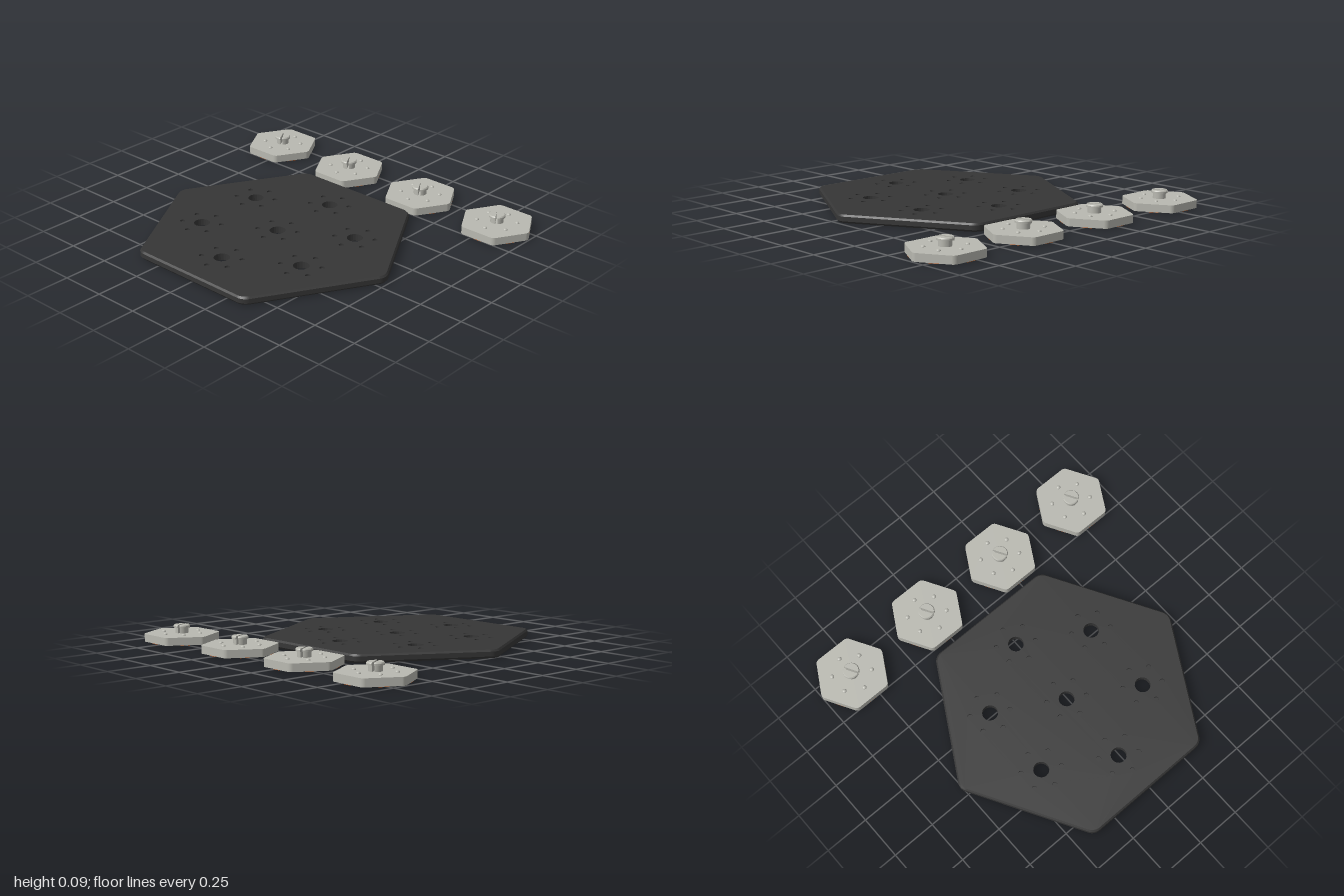
import * as THREE from 'three';

const mat = (name, color) => {
  const m = new THREE.MeshStandardMaterial({ color });
  m.name = name;
  return m;
};
const CORNER = Math.PI / 3;

// Pointed-top hexagon with rounded corners, in plan (shape y = -z)
function hexShape(halfWidth, r) {
  const s = new THREE.Shape();
  const d = (halfWidth - r) / Math.cos(Math.PI / 6);
  for (let i = 0; i < 6; i++) {
    const a = Math.PI / 6 + i * CORNER;
    s.absarc(d * Math.cos(a), d * Math.sin(a), r, a - Math.PI / 6, a + Math.PI / 6, false);
  }
  s.closePath();
  return s;
}

function circleHole(x, y, r) {
  return new THREE.Path().absarc(x, y, r, 0, Math.PI * 2, true);
}

// Horizontal slab from y0 to y1
function slab(shape, y0, y1, segments = 10) {
  const g = new THREE.ExtrudeGeometry(shape, { depth: y1 - y0, bevelEnabled: false, curveSegments: segments });
  return g.rotateX(-Math.PI / 2).translate(0, y0, 0);
}

// Pull the outer rim inward at one height to form a chamfer
function chamfer(g, y, minRadius, scale) {
  const p = g.attributes.position;
  for (let i = 0; i < p.count; i++) {
    if (Math.abs(p.getY(i) - y) < 1e-4 && Math.hypot(p.getX(i), p.getZ(i)) > minRadius) {
      p.setX(i, p.getX(i) * scale);
      p.setZ(i, p.getZ(i) * scale);
    }
  }
  g.computeVertexNormals();
  return g;
}

export function createModel() {
  const root = new THREE.Group();
  const charcoal = mat('charcoal', 0x363636);
  const paleGrey = mat('pale grey', 0xb9b9b1);
  const orange = mat('burnt orange', 0xc05a20);

  const add = (parent, name, geometry, material) => {
    const m = new THREE.Mesh(geometry, material);
    m.name = name;
    parent.add(m);
    return m;
  };

  // Board: three layers, so the peg sockets and counterbores are blind
  const board = new THREE.Group();
  board.name = 'board';
  board.position.set(-0.2, 0, -0.0135);
  root.add(board);

  const sites = [[0, 0]];
  for (let i = 0; i < 6; i++) sites.push([0.42 * Math.cos(i * CORNER), 0.42 * Math.sin(i * CORNER)]);

  const bottom = hexShape(0.656, 0.065);
  const middle = hexShape(0.656, 0.065);
  const top = hexShape(0.656, 0.065);
  for (const [x, y] of sites) {
    bottom.holes.push(circleHole(x, y, 0.054));
    middle.holes.push(circleHole(x, y, 0.043));
    top.holes.push(circleHole(x, y, 0.043));
    for (let i = 0; i < 6; i++) {
      top.holes.push(circleHole(x + 0.109 * Math.cos(i * CORNER), y + 0.109 * Math.sin(i * CORNER), 0.014));
    }
  }

  // Keyhole hanger slot beside the centre hole, on the underside
  const slot = new THREE.Path();
  const dir = Math.PI * 2 / 3;
  const at = (d) => [d * Math.cos(dir), d * Math.sin(dir)];
  slot.absarc(...at(0.11), 0.02, dir + 0.55, dir + Math.PI * 2 - 0.55, false);
  slot.absarc(...at(0.235), 0.0105, dir - Math.PI / 2, dir + Math.PI / 2, false);
  slot.closePath();
  bottom.holes.push(slot);

  add(board, 'boardUnderside', chamfer(slab(bottom, 0, 0.01), 0, 0.6, 0.988), charcoal);
  add(board, 'boardCore', slab(middle, 0.01, 0.035), charcoal);
  add(board, 'boardTop', chamfer(slab(top, 0.035, 0.045), 0.045, 0.6, 0.988), charcoal);

  // Shared tile geometry
  const tileBody = slab(hexShape(0.181, 0.03), 0.002, 0.045);
  const peg = new THREE.SphereGeometry(0.012, 16, 6, 0, Math.PI * 2, 0, Math.PI / 2).scale(1, 0.75, 1);

  // Half of the split pin, cut flat along the slit
  const halfDisc = (r) => {
    const a = Math.asin(0.006 / r);
    const s = new THREE.Shape().absarc(0, 0, r, a, Math.PI - a, false);
    s.closePath();
    return s;
  };
  const stem = slab(halfDisc(0.036), 0.045, 0.078, 20);
  const lip = slab(halfDisc(0.045), 0.076, 0.085, 20);
  const cap = chamfer(slab(halfDisc(0.045), 0.085, 0.091, 20), 0.091, 0.04, 0.9);

  // Curved path painted round a tile corner
  const pathShape = new THREE.Shape();
  const arcEnd = (r) => Math.PI / 3;
  pathShape.absarc(0, 0, 0.13, -arcEnd(), arcEnd(), false);
  pathShape.absarc(0, 0, 0.08, arcEnd(), -arcEnd(), true);
  pathShape.closePath();
  const pathPlate = slab(pathShape, 0, 0.003, 24);

  [-0.796, -0.267, 0.262, 0.791].forEach((z) => {
    const tile = new THREE.Group();
    tile.name = 'tile';
    tile.position.set(0.677, 0, z);
    root.add(tile);
    add(tile, 'tileBody', tileBody, paleGrey);

    for (let i = 0; i < 6; i++) {
      add(tile, 'locatingPeg', peg, paleGrey)
        .position.set(0.109 * Math.cos(i * CORNER), 0.045, 0.109 * Math.sin(i * CORNER));
    }

    const pin = new THREE.Group();
    pin.name = 'splitPin';
    tile.add(pin);
    for (const turn of [0, Math.PI]) {
      const half = new THREE.Group();
      half.name = 'pinHalf';
      half.rotation.y = Math.PI / 6 + turn;
      add(half, 'pinStem', stem, paleGrey);
      add(half, 'pinLip', lip, paleGrey);
      add(half, 'pinCap', cap, paleGrey);
      pin.add(half);
    }

    // Paths round every second corner of the underside
    for (let i = 0; i < 3; i++) {
      const a = Math.PI / 2 + i * CORNER * 2;
      const plate = add(tile, 'paintedPath', pathPlate, orange);
      plate.position.set(0.209 * Math.cos(a), 0, 0.209 * Math.sin(a));
      plate.rotation.y = Math.PI - a;
    }
  });

  return root;
}
